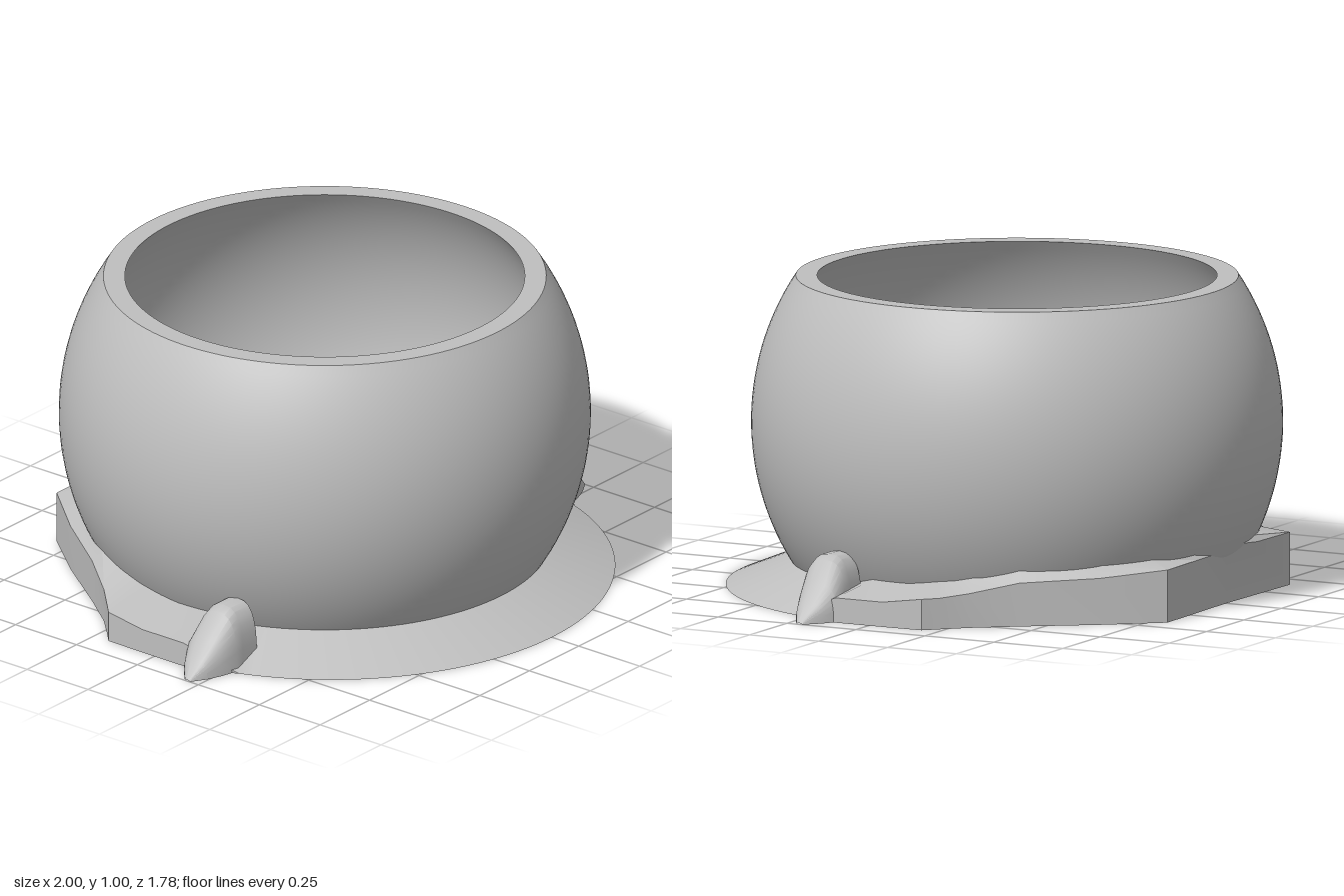
import * as THREE from 'three';
import { toCreasedNormals } from 'three/addons/utils/BufferGeometryUtils.js';

const CZ = -0.042;          // centre of the bowl along z
const CY = 0.53;            // height of the sphere centre
const R_OUT = 0.848, R_IN = 0.792;
const radiusAt = (y, r) => Math.sqrt(r * r - (y - CY) ** 2);

// Skin a list of equal-length rings; closed joins the last point to the first
function loft(rings, closed) {
  const n = rings[0].length, index = [];
  rings.slice(1).forEach((_, r) => {
    for (let i = 0; i < (closed ? n : n - 1); i++) {
      const a = r * n + i, b = r * n + (i + 1) % n;
      index.push(a, b, a + n, b, b + n, a + n);
    }
  });
  const geo = new THREE.BufferGeometry();
  geo.setAttribute('position', new THREE.Float32BufferAttribute(rings.flat(2), 3));
  geo.setIndex(index);
  return toCreasedNormals(geo, 0.5);
}

export function createModel() {
  const group = new THREE.Group();
  const grey = new THREE.MeshStandardMaterial({ name: 'plain grey', color: 0xbfbfbf, side: THREE.DoubleSide });
  const add = (name, geo) => {
    const mesh = new THREE.Mesh(geo, grey);
    mesh.name = name;
    group.add(mesh);
    return mesh;
  };

  // Hollow bowl: outer sphere, flat rim, inner sphere, straight collar at the bottom
  const profile = [];
  const steps = 32;
  for (let i = 0; i <= steps; i++) {
    const y = 0.03 + 0.97 * i / steps;
    profile.push(new THREE.Vector2(radiusAt(y, R_OUT), y));
  }
  for (let i = 0; i <= steps; i++) {
    const y = 1 - 0.947 * i / steps;
    profile.push(new THREE.Vector2(radiusAt(y, R_IN), y));
  }
  profile.push(new THREE.Vector2(0.632, 0));
  const bowl = add('bowl', toCreasedNormals(new THREE.LatheGeometry(profile, 128), 0.5));
  bowl.position.z = CZ;

  // Base outline, left half from front to back: x, z, outer edge height, height at the bowl
  const half = [];
  for (let i = 0; i <= 28; i++) {
    const a = (i / 28) * 1.22;
    half.push([0.905 * Math.sin(a), -0.015 + 0.905 * Math.cos(a), 0, 0.088]);
  }
  half.push(
    [0.9, 0.2, 0.05, 0.1], [0.915, 0.12, 0.08, 0.115], [0.915, -0.05, 0.08, 0.115],
    [0.912, -0.19, 0.1, 0.13], [0.87, -0.23, 0.1, 0.135], [0.8, -0.3, 0.11, 0.15],
    [0.7, -0.43, 0.14, 0.18], [0.55, -0.64, 0.15, 0.185], [0.41, -0.81, 0.17, 0.19],
    [0.2, -0.805, 0.17, 0.19], [0, -0.8, 0.17, 0.19]
  );
  const mirrored = half.slice(1, -1).reverse().map(([x, ...rest]) => [-x, ...rest]);
  const outline = [...half, ...mirrored];
  const inner = outline.map(([x, z, , h]) => {
    const a = Math.atan2(x, z - CZ), r = radiusAt(h, R_OUT) - 0.008;
    return [r * Math.sin(a), h, CZ + r * Math.cos(a)];
  });
  add('baseFlange', loft([
    outline.map(([x, z]) => [x, 0, z]),
    outline.map(([x, z, h]) => [x, h, z]),
    inner
  ], true));

  // Underside plate with the large opening and three screw holes
  const plate = new THREE.Shape(outline.map(([x, z]) => new THREE.Vector2(x, z)));
  const cut = (x, z, r) => plate.holes.push(new THREE.Path().absarc(x, z, r, 0, Math.PI * 2, true));
  cut(0, CZ, 0.632);
  for (let i = 0; i < 3; i++) {
    const a = Math.PI + i * Math.PI * 2 / 3 + 0.07;
    const x = 0.69 * Math.sin(a), z = CZ + 0.69 * Math.cos(a);
    cut(x, z, 0.022);
    const pocket = [[0.022, 0], [0.022, 0.06], [0, 0.06]].map(p => new THREE.Vector2(...p));
    add('screwHole', new THREE.LatheGeometry(pocket, 20)).position.set(x, 0, z);
  }
  add('underside', new THREE.ShapeGeometry(plate, 48).rotateX(Math.PI / 2));

  // Pointed side lugs: arched sections tapering outwards (x, z from, z to, height)
  const sections = [
    [0.74, 0.12, 0.28, 0.2], [0.81, 0.12, 0.28, 0.2], [0.84, 0.12, 0.28, 0.185],
    [0.9, 0.12, 0.265, 0.115], [0.95, 0.15, 0.245, 0.06], [1, 0.195, 0.215, 0.004]
  ];
  for (const side of [1, -1]) {
    const rings = sections.map(([x, z0, z1, h]) => {
      const ring = [];
      for (let i = 0; i <= 14; i++) {
        const a = Math.PI * i / 14, c = Math.cos(a);
        const z = (z0 + z1) / 2 + side * (z1 - z0) / 2 * Math.sign(c) * Math.abs(c) ** 0.7;
        ring.push([side * x, h * Math.max(0, Math.sin(a)) ** 0.7, z]);
      }
      return ring;
    });
    add(side > 0 ? 'leftLug' : 'rightLug', loft(rings, false));
  }
  return group;
}
